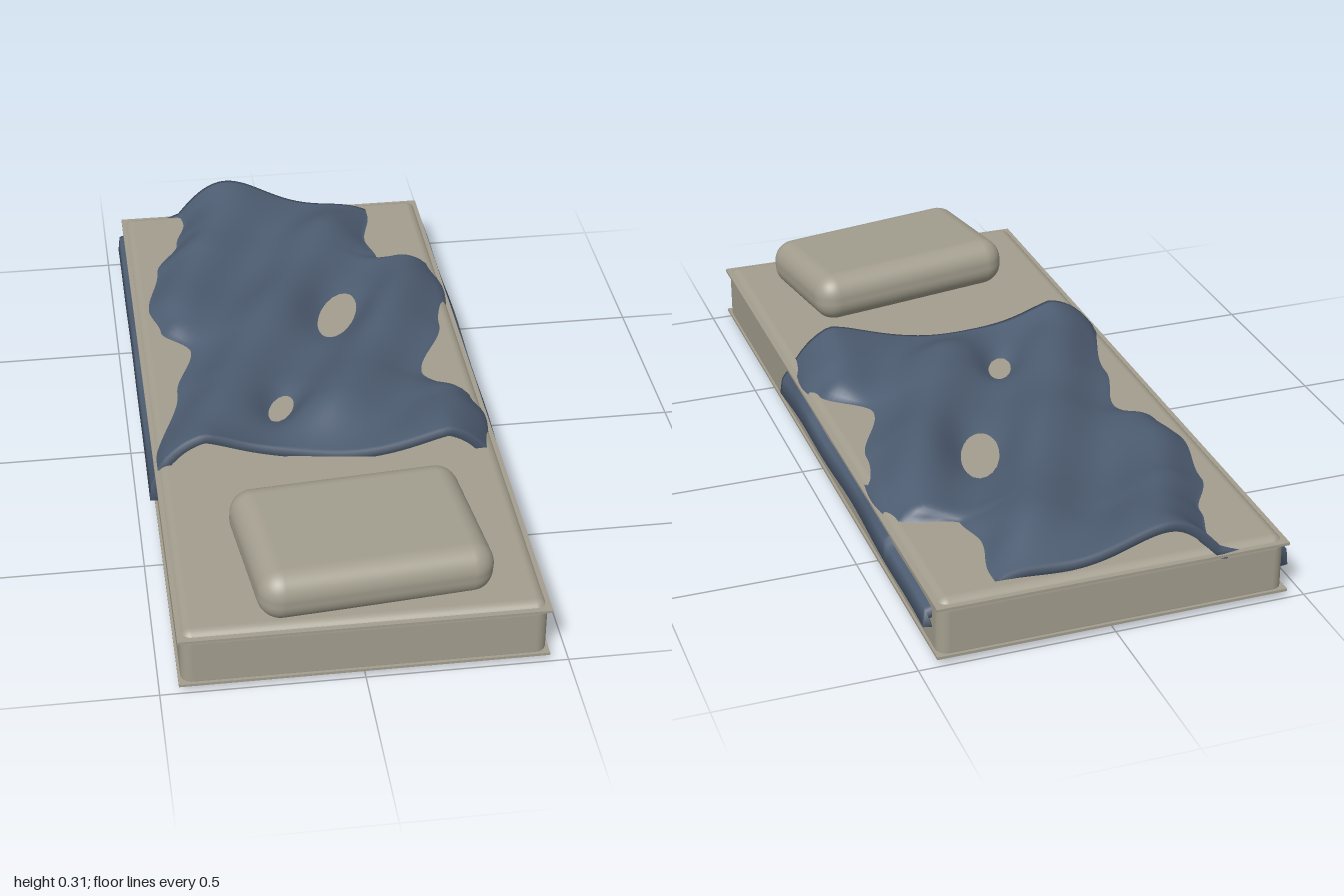
import * as THREE from 'three';
import { RoundedBoxGeometry } from 'three/addons/geometries/RoundedBoxGeometry.js';

const linen = new THREE.MeshStandardMaterial({ name: 'linen beige', color: 0xa39e8e });
const wool = new THREE.MeshStandardMaterial({ name: 'blanket blue', color: 0x4e5d72, side: THREE.DoubleSide });

const TOP = 0.17; // mattress top

// Smooth interpolation through [z, x] points sorted by z
function ease(points, z) {
  if (z <= points[0][0]) return points[0][1];
  for (let i = 1; i < points.length; i++) {
    const [z0, x0] = points[i - 1], [z1, x1] = points[i];
    if (z <= z1) return THREE.MathUtils.lerp(x0, x1, THREE.MathUtils.smoothstep(z, z0, z1));
  }
  return points[points.length - 1][1];
}

// Where the blanket sinks into the mattress top on each side
const minusEdge = [[-1, -0.28], [-0.92, -0.27], [-0.8, -0.3], [-0.65, -0.37], [-0.45, -0.41], [-0.32, -0.385], [-0.2, -0.31], [0, -0.365], [0.3, -0.44]];
const plusEdge = [[-0.95, 0.29], [-0.8, 0.26], [-0.7, 0.28], [-0.64, 0.42], [-0.5, 0.44], [-0.3, 0.4], [-0.06, 0.31], [0.08, 0.42], [0.18, 0.44], [0.34, 0.42]];

// Low spots where the sheet shows: x, z, half width, half length
const dips = [[0.12, -0.36, 0.053, 0.113], [-0.095, 0.085, 0.033, 0.06]];

// Height of the blanket over the mattress
function loft(x, z, s) {
  const wave = -Math.cos(Math.PI * 2 * (x + 0.477 * z + 0.055) / 0.345);
  const middle = 0.045 + 0.026 * wave + 0.007 * Math.sin(z * 14);
  const front = 0.012 + 0.085 * Math.min(1, Math.abs(x / 0.32)) ** 2;
  const back = 0.02 + 0.085 * Math.exp(-(((x + 0.14) / 0.16) ** 2));
  let h = THREE.MathUtils.lerp(middle, front, THREE.MathUtils.smoothstep(z, 0.12, 0.34));
  h = THREE.MathUtils.lerp(back, h, THREE.MathUtils.smoothstep(z, -1, -0.75));
  for (const [cx, cz, a, b] of dips) {
    const d2 = ((x - cx + 0.3 * (z - cz)) / a) ** 2 + ((z - cz) / b) ** 2;
    h *= 1 - Math.exp((1 - d2) / 2);
  }
  return h * (1 - Math.abs(2 * s - 1) ** 6);
}

const frontEnd = (x) => 0.318 + 0.025 * Math.sin(6 * x);
const backEnd = (x) => -0.995 + 0.05 * THREE.MathUtils.smoothstep(x, -0.15, 0.3) + 0.03 * THREE.MathUtils.smoothstep(-x, 0.33, 0.46);

// Blanket: cross-sections along z, thickened along the normals
function blanketGeometry() {
  const rows = 110, inner = 48, cols = inner + 5;
  const pos = [], idx = [];
  for (let r = 0; r < rows; r++) {
    const v = r / (rows - 1), zMid = -0.99 + 1.32 * v;
    const l = ease(minusEdge, zMid), p = ease(plusEdge, zMid);
    const sag = 0.018 * Math.sin(Math.PI * v) + 0.005 * Math.sin(zMid * 12);
    const section = [[-0.468, 0.07 + sag], [-0.463, 0.115 + sag]];
    for (let i = 0; i <= inner; i++) section.push([l + (p - l) * i / inner, null, i / inner]);
    section.push([0.463, 0.122 + sag], [0.47, 0.078 + sag]);
    for (const [x, y, s] of section) {
      const z = THREE.MathUtils.lerp(backEnd(x), frontEnd(x), v);
      pos.push(x, y === null ? TOP + loft(x, z, s) : y, z);
    }
  }
  const quad = (a, b, c, d) => idx.push(a, b, c, c, b, d);
  for (let r = 0; r < rows - 1; r++)
    for (let c = 0; c < cols - 1; c++) {
      const a = r * cols + c;
      quad(a, a + cols, a + 1, a + cols + 1);
    }
  const sheet = new THREE.BufferGeometry();
  sheet.setAttribute('position', new THREE.Float32BufferAttribute(pos, 3));
  sheet.setIndex(idx.slice());
  sheet.computeVertexNormals();
  const normal = sheet.attributes.normal, n = rows * cols, thick = 0.024;
  for (let i = 0; i < n; i++)
    pos.push(pos[3 * i] - thick * normal.getX(i), pos[3 * i + 1] - thick * normal.getY(i), pos[3 * i + 2]);
  // underside
  const topCount = idx.length;
  for (let i = 0; i < topCount; i += 3) idx.push(idx[i] + n, idx[i + 2] + n, idx[i + 1] + n);
  // rim
  for (let c = 0; c < cols - 1; c++) {
    const f = (rows - 1) * cols + c;
    quad(f, f + n, f + 1, f + 1 + n);
    quad(c + 1, c + 1 + n, c, c + n);
  }
  for (let r = 0; r < rows - 1; r++) {
    const a = r * cols, b = a + cols - 1;
    quad(a, a + n, a + cols, a + cols + n);
    quad(b + cols, b + cols + n, b, b + n);
  }
  const g = new THREE.BufferGeometry();
  g.setAttribute('position', new THREE.Float32BufferAttribute(pos, 3));
  g.setIndex(idx);
  g.computeVertexNormals();
  return g;
}

export function createModel() {
  const group = new THREE.Group();
  const add = (name, geometry, material, x = 0, y = 0, z = 0) => {
    const mesh = new THREE.Mesh(geometry, material);
    mesh.name = name;
    mesh.position.set(x, y, z);
    group.add(mesh);
    return mesh;
  };

  // Mattress with a seam flange near the top and the bottom
  add('mattress', new RoundedBoxGeometry(0.894, TOP, 1.985, 5, 0.03), linen, 0, TOP / 2, 0);
  for (const [name, y] of [['lowerSeam', 0.023], ['upperSeam', 0.155]])
    add(name, new THREE.BoxGeometry(0.906, 0.007, 2), linen, 0, y, 0);

  // Pillow, turned and slightly tilted
  const pillow = add('pillow', new RoundedBoxGeometry(0.59, 0.135, 0.405, 6, 0.06), linen, 0.02, 0.226, 0.75);
  pillow.rotation.set(0.05, 0.12, -0.03, 'YXZ');

  add('blanket', blanketGeometry(), wool);
  return group;
}
